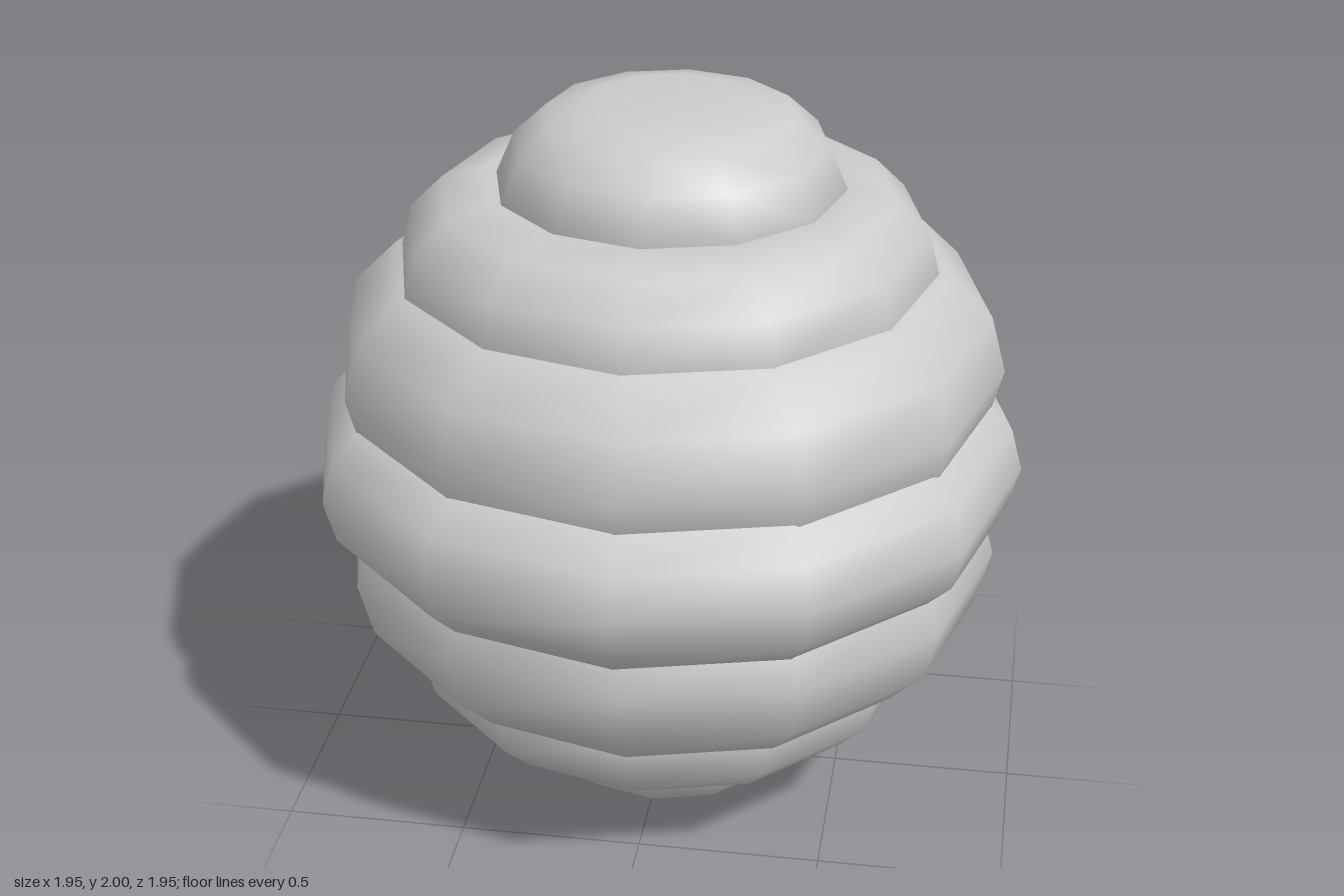
import * as THREE from 'three';

const SIDES = 12;

export function createModel() {
  const model = new THREE.Group();
  const material = new THREE.MeshStandardMaterial({ color: 0xcccccc });

  const add = (name, geometry, x, y, z) => {
    const mesh = new THREE.Mesh(geometry, material);
    mesh.name = name;
    mesh.position.set(x, y, z);
    model.add(mesh);
  };

  // Twelve-sided ring lying flat
  const ring = (major, minor) =>
    new THREE.TorusGeometry(major, minor, 12, SIDES).rotateX(Math.PI / 2);

  // Domed end cap, profile measured from the model's middle height
  const capProfile = [
    [0.42, 0.66], [0.47, 0.775], [0.42, 0.89], [0.333, 0.97], [0.21, 1], [0, 1],
  ].map(([r, y]) => new THREE.Vector2(r, y));

  add('middleRing', ring(0.745, 0.232), 0, 1, 0);

  // Rings and caps repeat above and below the middle
  for (const [prefix, s] of [['upper', 1], ['lower', -1]]) {
    add(prefix + 'WideRing', ring(0.6, 0.31), 0.005, 1 + s * 0.28, -0.02);
    add(prefix + 'NarrowRing', ring(0.492, 0.238), 0, 1 + s * 0.545, -0.01);
    const cap = new THREE.LatheGeometry(capProfile, SIDES);
    if (s < 0) cap.rotateX(Math.PI);
    add(prefix + 'Cap', cap, 0.01, 1, -0.01);
  }
  return model;
}
